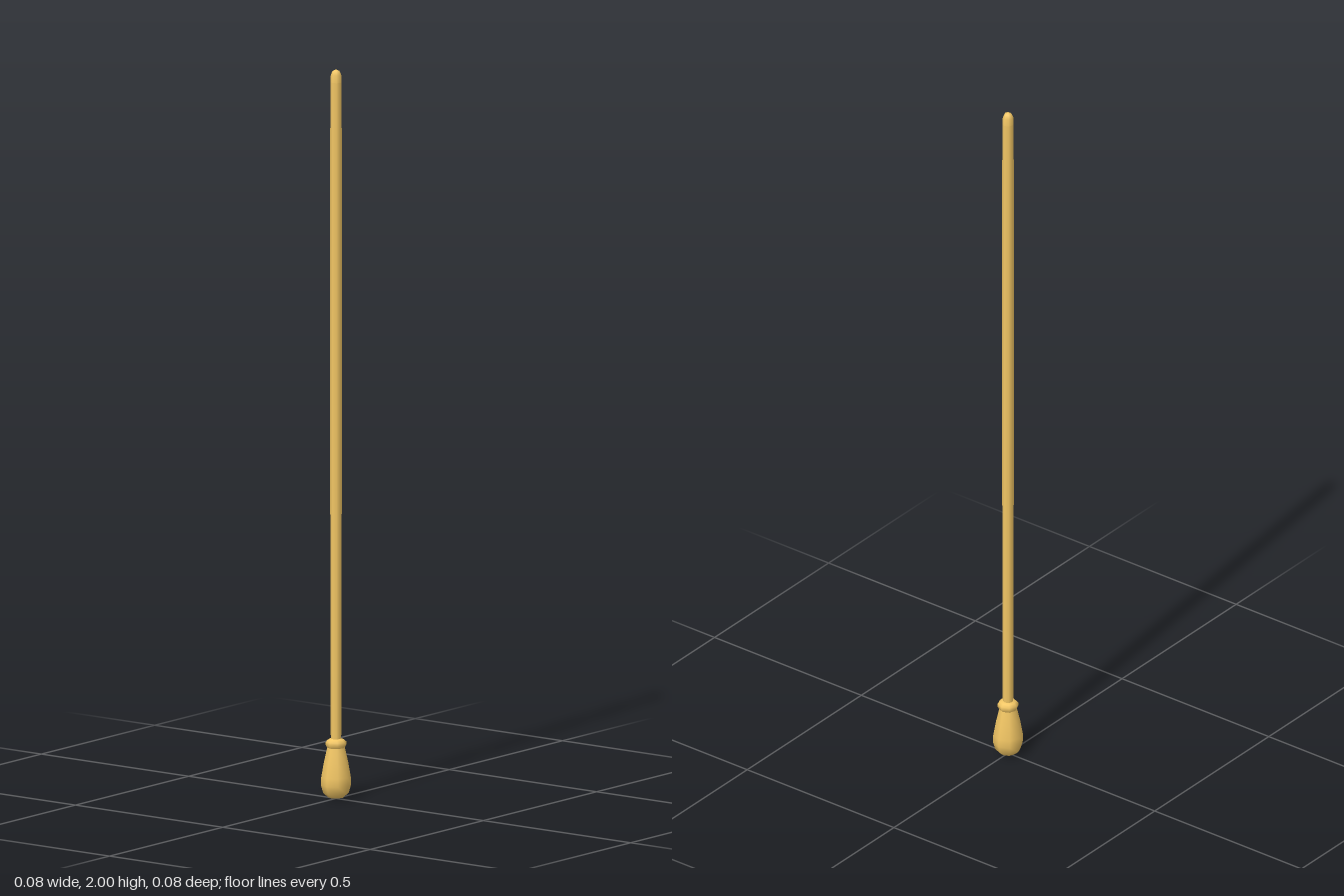
import * as THREE from 'three';

const SIDES = 8;

// Turned part: profile is a list of [radius, height], bottom to top
function turned(name, profile, material) {
  const points = profile.map(([r, y]) => new THREE.Vector2(r, y));
  const mesh = new THREE.Mesh(new THREE.LatheGeometry(points, SIDES), material);
  mesh.name = name;
  return mesh;
}

export function createModel() {
  const group = new THREE.Group();
  group.name = 'rod';
  const brass = new THREE.MeshStandardMaterial({ color: 0xf2c664 });

  // Pear-shaped grip with a rounded foot
  group.add(turned('grip', [
    [0, 0], [0.022, 0.004], [0.035, 0.016], [0.041, 0.038],
    [0.04, 0.06], [0.033, 0.1], [0.024, 0.14],
  ], brass));

  // Flared collar where the shaft enters the grip
  group.add(turned('collar', [
    [0.024, 0.14], [0.028, 0.147], [0.028, 0.156], [0.022, 0.162], [0.013, 0.165],
  ], brass));

  // Long slender shaft, swelling very slightly in the middle
  group.add(turned('shaft', [
    [0.0142, 0.16], [0.0148, 0.35], [0.0162, 1.1], [0.0155, 1.965],
  ], brass));

  // Rounded tip
  group.add(turned('tip', [
    [0.0155, 1.965], [0.0142, 1.985], [0.0095, 1.996], [0, 2],
  ], brass));

  return group;
}
